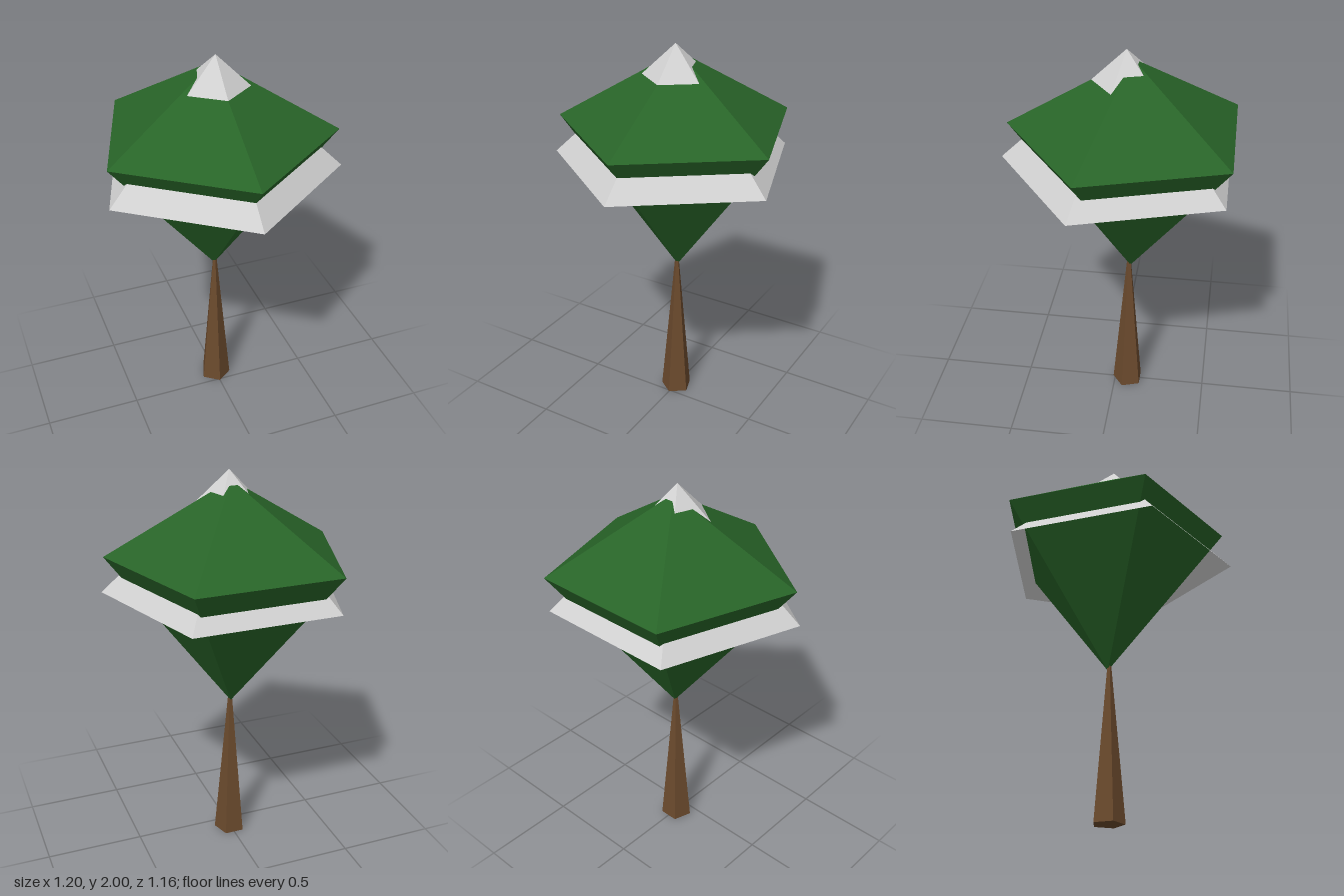
import * as THREE from 'three';

const SIDES = 5;

export function createModel() {
  const tree = new THREE.Group();
  tree.name = 'tree';

  const material = (name, color, side = THREE.FrontSide) =>
    new THREE.MeshStandardMaterial({ name, color, side, flatShading: true });
  const bark = material('bark brown', 0x6b4a2d);
  const leaf = material('leaf green', 0x286428);
  const snow = material('snow white', 0xd0d0d0, THREE.DoubleSide);

  // Five-sided frustum from height y0 to y1, with one corner facing the front
  function frustum(name, mat, rBottom, rTop, y0, y1, z, open) {
    const geometry = new THREE.CylinderGeometry(rTop, rBottom, y1 - y0, SIDES, 1, open);
    const mesh = new THREE.Mesh(geometry, mat);
    mesh.name = name;
    mesh.position.set(0, (y0 + y1) / 2, z);
    tree.add(mesh);
  }

  // Trunk tapering up into the foliage
  frustum('trunk', bark, 0.084, 0, 0, 0.94, -0.073, false);

  // Foliage: inverted cone below, shallow cone above
  frustum('lowerFoliage', leaf, 0, 0.62, 0.79, 1.585, -0.08, true);
  frustum('upperFoliage', leaf, 0.62, 0, 1.585, 1.955, -0.08, true);

  // Hollow snow cone piercing the foliage: shows as a tip and a skirt
  frustum('snowCone', snow, 0.631, 0, 1.395, 2, -0.053, true);

  return tree;
}
